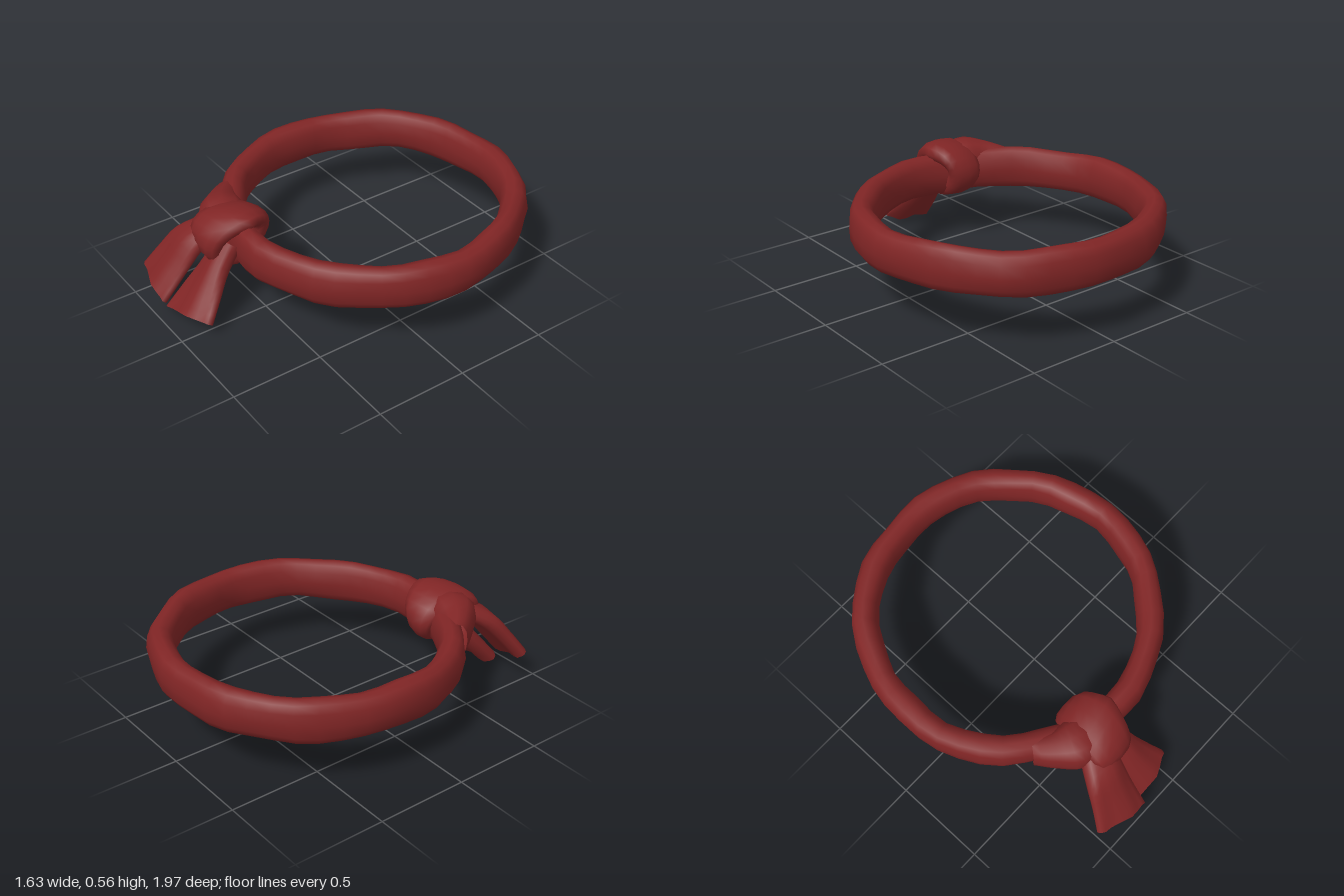
import * as THREE from 'three';

const V = (x, y, z) => new THREE.Vector3(x, y, z);

// Skin a row of oval sections; each has centre c and half-axes u, v (u x v points along the row)
function loft(sections, sides, closed = false, ripple = () => 1, power = 0.85) {
  const pos = [], idx = [], rows = sections.length;
  const soft = (n) => Math.sign(n) * Math.abs(n) ** power;
  sections.forEach(({ c, u, v }, i) => {
    for (let j = 0; j < sides; j++) {
      const a = (j / sides) * Math.PI * 2, k = ripple(i / rows, a);
      const p = c.clone().addScaledVector(u, soft(Math.cos(a))).addScaledVector(v, soft(Math.sin(a)) * k);
      pos.push(p.x, p.y, p.z);
    }
  });
  for (let i = 0; i < (closed ? rows : rows - 1); i++) {
    for (let j = 0; j < sides; j++) {
      const k = (j + 1) % sides, n = (i + 1) % rows;
      const a = i * sides + j, b = i * sides + k, c = n * sides + k, d = n * sides + j;
      idx.push(a, b, c, a, c, d);
    }
  }
  const g = new THREE.BufferGeometry();
  g.setAttribute('position', new THREE.Float32BufferAttribute(pos, 3));
  g.setIndex(idx);
  g.computeVertexNormals();
  return g;
}

// Smooth sections between a few key sections
function blend(keys, steps) {
  const [c, u, v] = ['c', 'u', 'v'].map((n) => new THREE.CatmullRomCurve3(keys.map((k) => k[n])));
  return Array.from({ length: steps + 1 }, (_, i) => ({
    c: c.getPoint(i / steps), u: u.getPoint(i / steps), v: v.getPoint(i / steps),
  }));
}

export function createModel() {
  const group = new THREE.Group();
  const cloth = new THREE.MeshStandardMaterial({ color: 0x802525, side: THREE.DoubleSide });
  cloth.name = 'dark red cloth';
  const add = (name, geometry) => {
    const mesh = new THREE.Mesh(geometry, cloth);
    mesh.name = name;
    group.add(mesh);
  };

  // Cloth band: a tall oval section swept round a circle, slightly uneven
  const band = [];
  for (let i = 0; i < 44; i++) {
    const t = (i / 44) * Math.PI * 2;
    const r = 0.742 + 0.006 * Math.sin(5 * t + 1) + 0.004 * Math.sin(13 * t);
    const y = 0.407 - 0.012 * Math.cos(t) + 0.004 * Math.sin(7 * t);
    const out = V(Math.sin(t), 0, Math.cos(t));
    band.push({
      c: out.clone().multiplyScalar(r).add(V(0, y, -0.18)),
      u: V(0, 0.115 + 0.004 * Math.sin(9 * t + 2), 0),
      v: out.clone().multiplyScalar(0.07 + 0.003 * Math.sin(11 * t)),
    });
  }
  add('headband', loft(band, 12, true, (s, a) => 1 + 0.05 * Math.sin(3 * a + s * 40)));

  // Knot loop wrapped over and under the band
  const loop = [];
  for (let i = 0; i < 20; i++) {
    const t = (i / 20) * Math.PI * 2, cy = Math.cos(t), sz = Math.sin(t);
    loop.push({
      c: V(-0.165 - 0.025 * Math.abs(sz), 0.415 + 0.095 * cy, 0.572 + 0.14 * sz),
      u: V(0.115 + 0.03 * cy - 0.02 * Math.max(0, -sz), 0.015 * cy, -0.03 * cy),
      v: V(0, cy, sz).multiplyScalar(0.06),
    });
  }
  add('knotLoop', loft(loop, 12, true));

  // Strand bulging out where the band enters the knot
  add('knotStrand', loft(blend([
    { c: V(-0.47, 0.41, 0.42), u: V(0, 0.1, 0), v: V(-0.04, 0, 0.05) },
    { c: V(-0.39, 0.42, 0.5), u: V(0, 0.12, 0), v: V(-0.05, 0, 0.075) },
    { c: V(-0.29, 0.43, 0.56), u: V(0, 0.132, 0), v: V(-0.06, 0, 0.115) },
    { c: V(-0.17, 0.43, 0.6), u: V(0, 0.1, 0), v: V(-0.04, 0, 0.09) },
  ], 9), 12));

  // Hollow tails flaring out of the knot with soft folds
  const folds = (s, a) => 1 + 0.3 * s * Math.sin(5 * a + 1);
  add('tailRight', loft(blend([
    { c: V(-0.24, 0.46, 0.62), u: V(0.09, 0, 0), v: V(0, 0.03, 0.05) },
    { c: V(-0.3, 0.38, 0.75), u: V(0.115, 0, 0), v: V(0, 0.035, 0.042) },
    { c: V(-0.33, 0.27, 0.84), u: V(0.13, -0.015, 0.01), v: V(0, 0.028, 0.036) },
    { c: V(-0.36, 0.14, 0.94), u: V(0.15, -0.03, 0.03), v: V(0, 0.024, 0.032) },
  ], 9), 18, false, folds));
  add('tailLeft', loft(blend([
    { c: V(-0.13, 0.41, 0.62), u: V(0.08, 0, 0), v: V(0, 0.03, 0.05) },
    { c: V(-0.125, 0.3, 0.7), u: V(0.09, 0.01, 0), v: V(0, 0.036, 0.046) },
    { c: V(-0.12, 0.18, 0.79), u: V(0.13, 0.02, -0.015), v: V(0, 0.032, 0.045) },
    { c: V(-0.105, 0.06, 0.89), u: V(0.17, 0.032, -0.03), v: V(0, 0.028, 0.042) },
  ], 9), 18, false, folds));

  return group;
}
